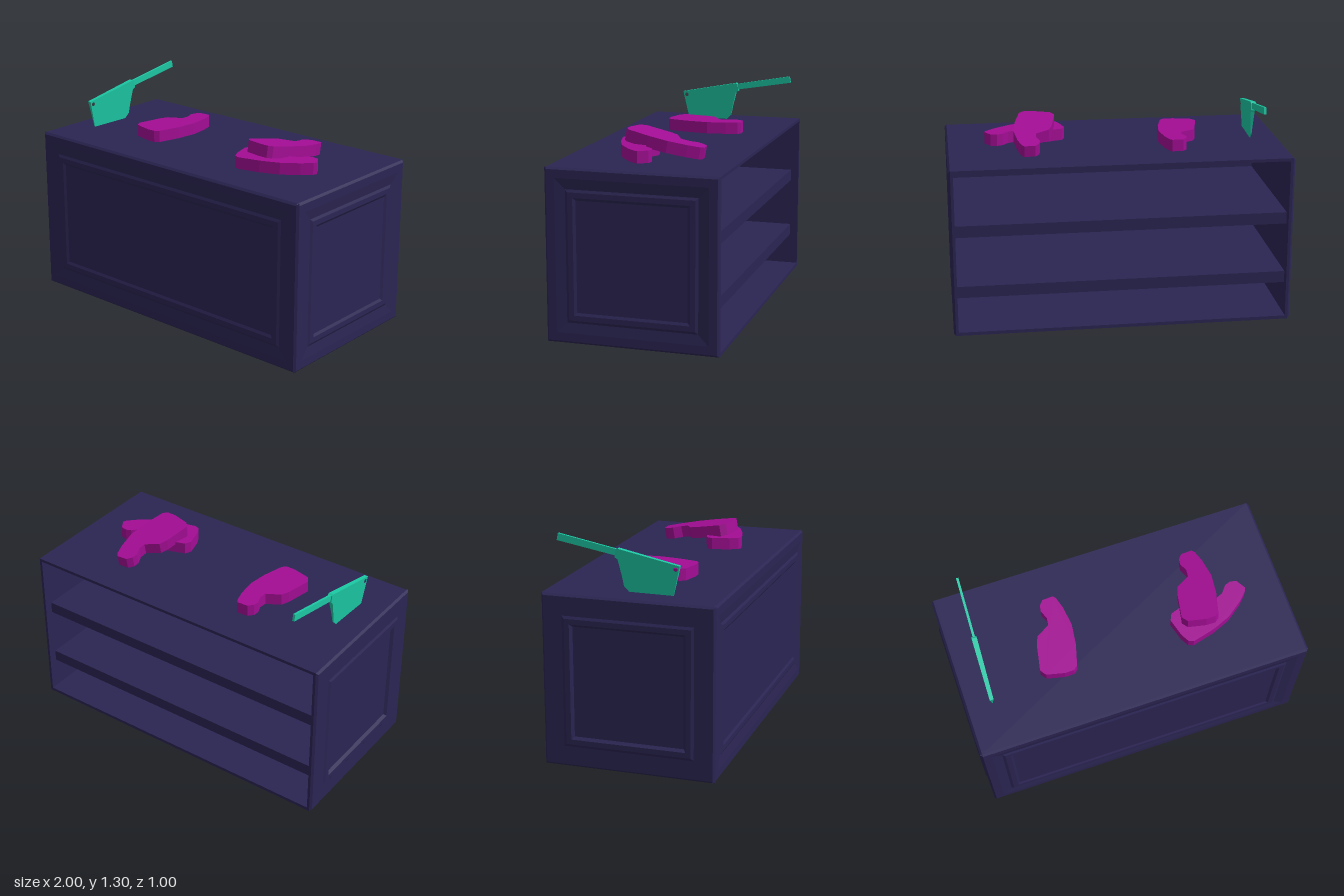
import * as THREE from 'three';

const mat = (color) => new THREE.MeshStandardMaterial({ color, flatShading: true });
const wood = mat(0x2b2553);
const meatMat = mat(0xa30d94);
const steel = mat(0x1cc8a4);

function add(parent, name, geometry, material, x = 0, y = 0, z = 0) {
  const mesh = new THREE.Mesh(geometry, material);
  mesh.name = name;
  mesh.position.set(x, y, z);
  parent.add(mesh);
  return mesh;
}

// Moulded panel facing +z: nested rectangles given as [inset, depth]
function panelGeometry(w, h, rings) {
  const pos = [], index = [];
  for (const [inset, depth] of rings) {
    const x = w / 2 - inset, y = h / 2 - inset;
    pos.push(-x, -y, depth, x, -y, depth, x, y, depth, -x, y, depth);
  }
  for (let r = 0; r < rings.length - 1; r++) {
    for (let j = 0; j < 4; j++) {
      const a = r * 4 + j, b = r * 4 + (j + 1) % 4;
      index.push(a, b, b + 4, a, b + 4, a + 4);
    }
  }
  const n = (rings.length - 1) * 4;
  index.push(n, n + 1, n + 2, n, n + 2, n + 3);
  const g = new THREE.BufferGeometry();
  g.setAttribute('position', new THREE.Float32BufferAttribute(pos, 3));
  g.setIndex(index);
  const flat = g.toNonIndexed();
  flat.computeVertexNormals();
  return flat;
}

function makeCounter() {
  const counter = new THREE.Group();
  counter.name = 'counter';
  const W = 1.992, D = 1, bevel = 0.012;
  const edge = [[0, -bevel], [bevel, 0], [0.06, 0]];
  const sunk = [...edge, [0.12, -0.008], [0.135, 0], [0.165, 0], [0.18, -0.009]];
  const raised = [...edge, [0.12, 0], [0.135, 0.008], [0.165, 0.008], [0.18, -0.008]];

  // Outer moulded faces
  add(counter, 'frontPanel', panelGeometry(W, 1, sunk), wood, 0, 0.5, D / 2);
  add(counter, 'leftPanel', panelGeometry(D, 1, sunk), wood, W / 2, 0.5, 0).rotation.y = Math.PI / 2;
  add(counter, 'rightPanel', panelGeometry(D, 1, raised), wood, -W / 2, 0.5, 0).rotation.y = -Math.PI / 2;

  // Inner walls, top and floor
  const t = 0.016, iw = W - 2 * bevel;
  const box = (w, h, d) => new THREE.BoxGeometry(w, h, d);
  for (const s of [-1, 1]) {
    add(counter, 'sideWall', box(t, 1, D - bevel), wood, s * (iw / 2 - t / 2), 0.5, -bevel / 2);
  }
  add(counter, 'frontWall', box(iw, 1, t), wood, 0, 0.5, D / 2 - bevel - t / 2);
  add(counter, 'top', box(iw, 0.018, D - bevel), wood, 0, 0.991, -bevel / 2);
  add(counter, 'floor', box(iw, 0.02, D - bevel), wood, 0, 0.01, -bevel / 2);

  // Shelves set in from the open back
  for (const y of [0.25, 0.62]) {
    add(counter, 'shelf', box(iw - t, 0.07, 0.93), wood, 0, y, 0.015);
  }
  counter.position.x = 0.004;
  return counter;
}

// Meat slab lying flat, outline in x and z, base at y = 0
function meatGeometry() {
  const outline = [
    [-0.01, -0.21], [0.015, -0.24], [0.08, -0.243], [0.095, -0.225], [0.115, -0.155],
    [0.13, -0.04], [0.115, 0.08], [0.08, 0.21], [0.055, 0.23], [0, 0.23],
    [-0.105, 0.205], [-0.13, 0.17], [-0.1, 0.015], [-0.08, -0.035], [0, -0.08],
    [0.005, -0.125], [-0.015, -0.175],
  ].map(([x, z]) => new THREE.Vector2(x, z));
  const g = new THREE.ExtrudeGeometry(new THREE.Shape(outline), { depth: 0.07, bevelEnabled: false });
  return g.rotateX(Math.PI / 2).translate(0, 0.07, 0);
}

// Extrudes an outline in z and y to a thickness centred on x = 0
function sideExtrude(points, thickness, hole) {
  const shape = new THREE.Shape(points.map(([z, y]) => new THREE.Vector2(z, y)));
  if (hole) shape.holes.push(new THREE.Path().absarc(hole[0], hole[1], hole[2], 0, Math.PI * 2, true));
  const g = new THREE.ExtrudeGeometry(shape, { depth: thickness, bevelEnabled: false, curveSegments: 6 });
  return g.translate(0, 0, -thickness / 2).rotateY(-Math.PI / 2);
}

function makeCleaver() {
  const cleaver = new THREE.Group();
  cleaver.name = 'cleaver';
  const blade = sideExtrude([
    [0.253, 1.17], [0.215, 1.0], [-0.045, 1.0], [-0.075, 1.03], [-0.085, 1.085],
    [-0.108, 1.18], [-0.125, 1.19], [-0.12, 1.232], [-0.108, 1.24],
  ], 1, [0.229, 1.15, 0.012]);
  // Taper the blade from spine to cutting edge
  const p = blade.attributes.position;
  for (let i = 0; i < p.count; i++) {
    p.setX(i, p.getX(i) * (0.004 + 0.11 * (p.getY(i) - 1)));
  }
  blade.computeVertexNormals();
  add(cleaver, 'blade', blade, steel);
  const handle = sideExtrude([[-0.1, 1.195], [-0.1, 1.232], [-0.465, 1.298], [-0.473, 1.258]].reverse(), 0.014);
  add(cleaver, 'handle', handle, steel);
  cleaver.position.x = -0.826;
  cleaver.rotation.y = -0.0375;
  return cleaver;
}

export function createModel() {
  const model = new THREE.Group();
  model.name = 'butcherCounter';
  model.add(makeCounter());

  // One slab alone, and two stacked with the upper one leaning
  const meat = meatGeometry();
  add(model, 'singleMeat', meat, meatMat, -0.39, 1, -0.03);
  add(model, 'lowerMeat', meat, meatMat, 0.52, 1, 0.085).rotation.y = -1.065;
  add(model, 'upperMeat', meat, meatMat, 0.475, 1.042, -0.035).rotation.x = -0.18;

  model.add(makeCleaver());
  return model;
}
